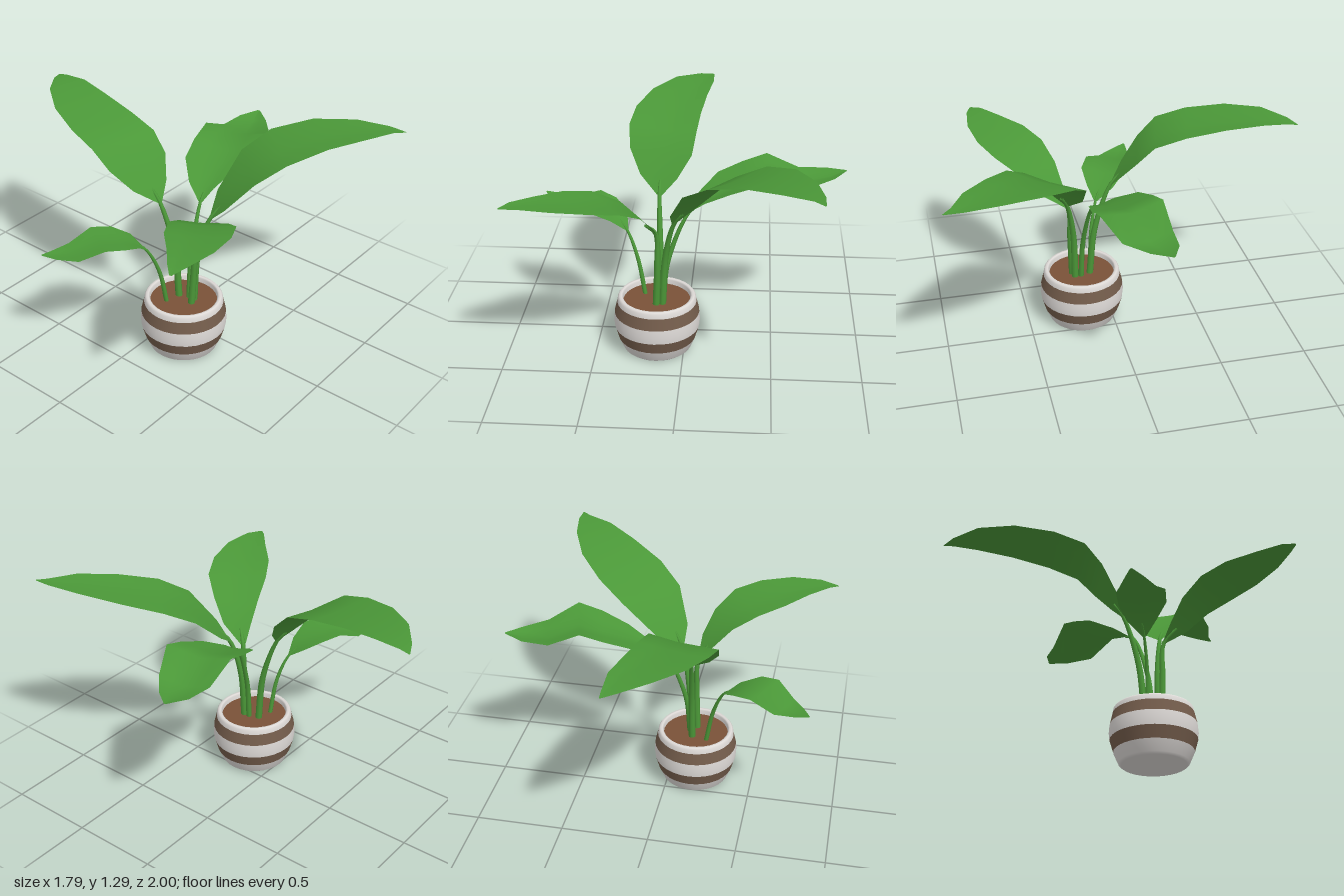
import * as THREE from 'three';

const material = (name, color, side = THREE.FrontSide) => {
  const m = new THREE.MeshStandardMaterial({ color, side });
  m.name = name;
  return m;
};

export function createModel() {
  const leafGreen = material('leaf green', 0x4b9838, THREE.DoubleSide);
  const potWhite = material('pot white', 0xdedad7);
  const potBrown = material('pot brown', 0x735c4b);
  const soilBrown = material('soil brown', 0x7a5238);

  const model = new THREE.Group();
  model.name = 'pottedPlant';
  const add = (parent, name, geometry, mat) => {
    const mesh = new THREE.Mesh(geometry, mat);
    mesh.name = name;
    parent.add(mesh);
    return mesh;
  };

  // Striped pot: each band is its own lathe along one barrel profile
  const pot = new THREE.Group();
  pot.name = 'pot';
  pot.position.set(-0.155, 0, 0.175);
  model.add(pot);
  const band = (name, profile, mat) =>
    add(pot, name, new THREE.LatheGeometry(profile.map(([r, y]) => new THREE.Vector2(r, y)), 32), mat);
  band('potBase', [[0, 0], [0.18, 0], [0.195, 0.012], [0.222, 0.075]], potWhite);
  band('lowerStripe', [[0.222, 0.075], [0.242, 0.145]], potBrown);
  band('potMiddle', [[0.242, 0.145], [0.246, 0.185], [0.242, 0.23]], potWhite);
  band('upperStripe', [[0.242, 0.23], [0.226, 0.297]], potBrown);
  band('potRim', [[0.226, 0.297], [0.222, 0.322], [0.213, 0.333], [0.2, 0.333], [0.192, 0.325], [0.19, 0.28]], potWhite);
  const soil = add(pot, 'soil', new THREE.CircleGeometry(0.192, 32), soilBrown);
  soil.rotation.x = -Math.PI / 2;
  soil.position.y = 0.3;

  // Blade rows are [x, y, z, width to one side, width to the other], base to tip
  const columns = [-1, -0.5, 0, 0.5, 1];
  function bladeGeometry(rows, fold) {
    const first = rows[0], tip = rows[rows.length - 1];
    const axis = new THREE.Vector3(tip[0] - first[0], 0, tip[2] - first[2]).normalize();
    const side = new THREE.Vector3(0, 1, 0).cross(axis);
    const positions = [], index = [], n = columns.length;
    rows.forEach(([x, y, z, wide, narrow], i) => {
      columns.forEach((t, j) => {
        const w = t * (t > 0 ? wide : narrow);
        positions.push(x + side.x * w, y + fold * Math.abs(w), z + side.z * w);
        if (i < rows.length - 1 && j < n - 1) {
          const a = i * n + j, b = a + n;
          index.push(a, b, a + 1, a + 1, b, b + 1);
        }
      });
    });
    const g = new THREE.BufferGeometry();
    g.setAttribute('position', new THREE.Float32BufferAttribute(positions, 3));
    g.setIndex(index);
    g.computeVertexNormals();
    return g;
  }

  // A leaf is a curved stem running into a gently folded blade
  function addLeaf(name, radius, fold, stem, rows) {
    const leaf = new THREE.Group();
    leaf.name = name;
    model.add(leaf);
    const points = [...stem, rows[0]].map(([x, y, z]) => new THREE.Vector3(x, y, z));
    const [x, y, z] = rows[1];
    points.push(new THREE.Vector3(x, y - radius * 0.6, z));
    const curve = new THREE.CatmullRomCurve3(points);
    const segments = 16, sides = 8;
    const tube = new THREE.TubeGeometry(curve, segments, radius, sides);
    // Taper the stem towards the blade
    const p = tube.attributes.position, v = new THREE.Vector3();
    for (let i = 0; i <= segments; i++) {
      const centre = curve.getPointAt(i / segments);
      for (let j = 0; j <= sides; j++) {
        const k = i * (sides + 1) + j;
        v.fromBufferAttribute(p, k).sub(centre).multiplyScalar(1 - 0.6 * (i / segments) ** 2).add(centre);
        p.setXYZ(k, v.x, v.y, v.z);
      }
    }
    add(leaf, name + 'Stem', tube, leafGreen);
    add(leaf, name + 'Blade', bladeGeometry(rows, fold), leafGreen);
  }

  addLeaf('backLeaf', 0.02, 0.06, [[-0.14, 0.28, 0.13], [-0.14, 0.6, 0.095]], [
    [-0.15, 0.87, 0, 0.015, 0.015],
    [-0.15, 0.95, -0.06, 0.12, 0.1],
    [-0.14, 1.06, -0.15, 0.2, 0.17],
    [-0.12, 1.16, -0.25, 0.235, 0.17],
    [-0.09, 1.21, -0.42, 0.24, 0.155],
    [-0.03, 1.25, -0.63, 0.22, 0.12],
    [0.04, 1.275, -0.82, 0.155, 0.08],
    [0.09, 1.27, -0.95, 0.06, 0.025],
    [0.11, 1.26, -1, 0.004, 0.004],
  ]);

  addLeaf('frontLeftLeaf', 0.02, 0.06, [[-0.12, 0.28, 0.22], [-0.1, 0.6, 0.23]], [
    [-0.05, 0.82, 0.27, 0.012, 0.012],
    [0, 0.91, 0.31, 0.14, 0.09],
    [0.13, 1.08, 0.39, 0.23, 0.17],
    [0.27, 1.175, 0.49, 0.25, 0.18],
    [0.45, 1.24, 0.63, 0.2, 0.165],
    [0.6, 1.275, 0.79, 0.115, 0.125],
    [0.69, 1.285, 0.92, 0.035, 0.045],
    [0.71, 1.285, 0.995, 0.004, 0.004],
  ]);

  addLeaf('leftLeaf', 0.016, 0.2, [[-0.12, 0.28, 0.185], [-0.09, 0.55, 0.175]], [
    [0.03, 0.84, 0.14, 0.01, 0.01],
    [0.1, 0.89, 0.12, 0.1, 0.05],
    [0.22, 0.95, 0.09, 0.18, 0.12],
    [0.36, 1, 0.05, 0.185, 0.18],
    [0.49, 1.045, 0.02, 0.175, 0.195],
    [0.66, 0.97, -0.02, 0.14, 0.15],
    [0.8, 0.985, -0.065, 0.085, 0.08],
    [0.89, 1.01, -0.09, 0.006, 0.006],
  ]);

  addLeaf('frontRightLeaf', 0.02, 0.06, [[-0.155, 0.28, 0.23], [-0.145, 0.55, 0.24]], [
    [-0.15, 0.75, 0.25, 0.012, 0.012],
    [-0.2, 0.84, 0.31, 0.1, 0.06],
    [-0.28, 0.95, 0.38, 0.15, 0.11],
    [-0.4, 1.025, 0.465, 0.195, 0.15],
    [-0.54, 1.06, 0.55, 0.185, 0.15],
    [-0.7, 1.085, 0.625, 0.14, 0.09],
    [-0.83, 1.095, 0.68, 0.06, 0.045],
    [-0.9, 1.085, 0.7, 0.006, 0.006],
  ]);

  addLeaf('rightLeaf', 0.013, 0.1, [[-0.225, 0.28, 0.11], [-0.27, 0.52, 0.09]], [
    [-0.33, 0.67, 0.05, 0.01, 0.01],
    [-0.38, 0.73, 0.015, 0.08, 0.08],
    [-0.47, 0.775, -0.03, 0.14, 0.12],
    [-0.57, 0.795, -0.08, 0.14, 0.125],
    [-0.69, 0.745, -0.145, 0.1, 0.095],
    [-0.78, 0.755, -0.2, 0.05, 0.045],
    [-0.835, 0.77, -0.237, 0.005, 0.005],
  ]);

  return model;
}
